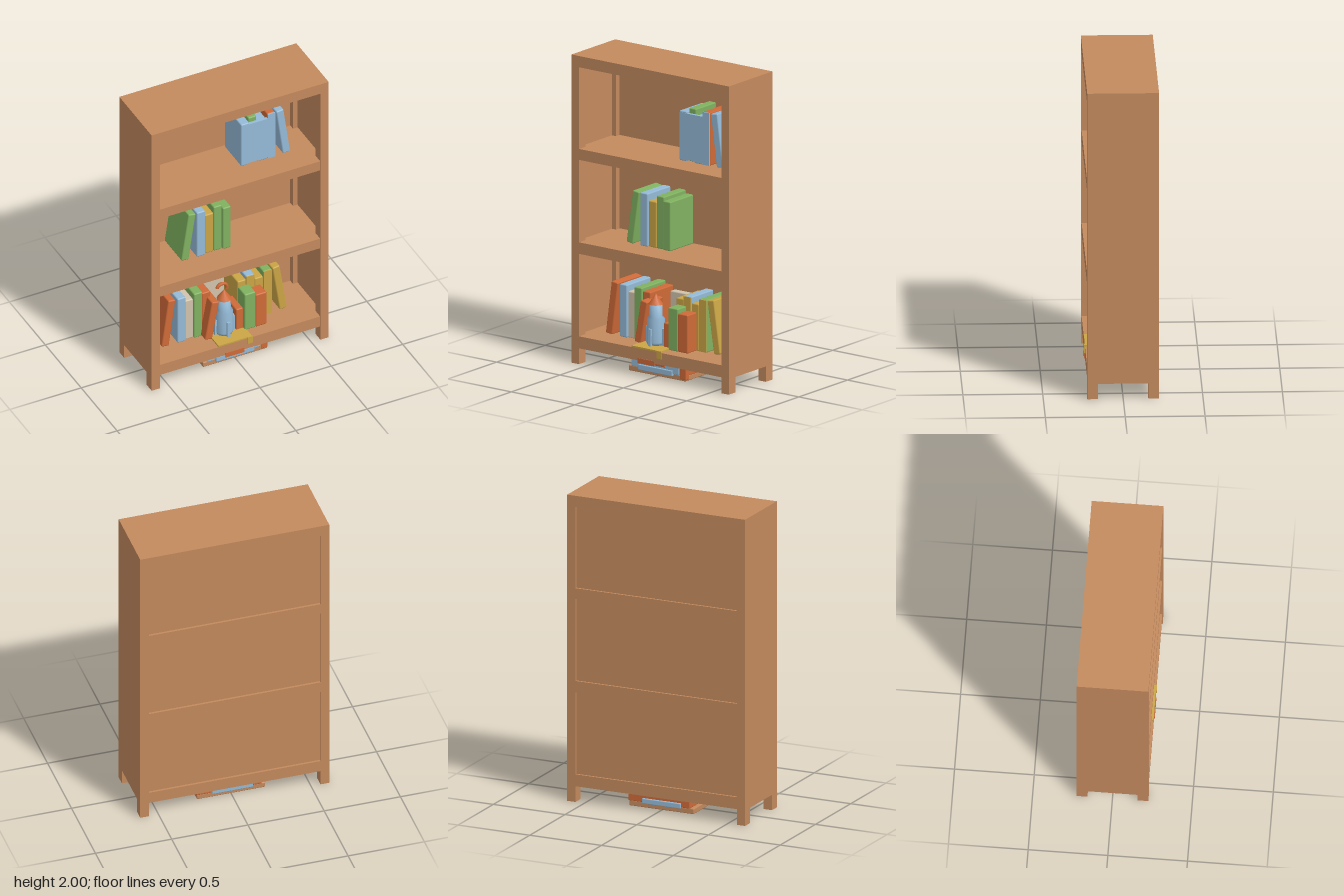
import * as THREE from 'three';
import { RoundedBoxGeometry } from 'three/addons/geometries/RoundedBoxGeometry.js';

const material = (name, color) => {
  const m = new THREE.MeshStandardMaterial({ color });
  m.name = name;
  return m;
};

export function createModel() {
  const wood = material('wood', 0xc48a5e);
  const blue = material('blue', 0x95bbd8);
  const green = material('green', 0x80b260);
  const yellow = material('yellow', 0xcba646);
  const orange = material('orange', 0xcf6a38);
  const cream = material('cream', 0xd2c4ad);

  const model = new THREE.Group();
  model.name = 'bookcase';

  const add = (parent, name, geometry, mat, x = 0, y = 0, z = 0) => {
    const mesh = new THREE.Mesh(geometry, mat);
    mesh.name = name;
    mesh.position.set(x, y, z);
    parent.add(mesh);
    return mesh;
  };
  // Box given by its low and high corners
  const box = (parent, name, mat, [x0, x1], [y0, y1], [z0, z1], radius = 0) => {
    const size = [x1 - x0, y1 - y0, z1 - z0];
    const geometry = radius ? new RoundedBoxGeometry(...size, 1, radius) : new THREE.BoxGeometry(...size);
    return add(parent, name, geometry, mat, (x0 + x1) / 2, (y0 + y1) / 2, (z0 + z1) / 2);
  };
  const group = (name) => {
    const g = new THREE.Group();
    g.name = name;
    model.add(g);
    return g;
  };

  // Case: four posts, side panels, top, shelves and a recessed back
  const frame = group('case');
  for (const s of [-1, 1]) {
    const span = (a, b) => (s > 0 ? [a, b] : [-b, -a]);
    box(frame, 'frontPost', wood, span(0.562, 0.62), [0, 1.93], [0.157, 0.225]);
    box(frame, 'backPost', wood, span(0.562, 0.62), [0, 1.93], [-0.225, -0.157]);
    box(frame, 'sidePanel', wood, span(0.595, 0.62), [0.1, 1.93], [-0.157, 0.157]);
  }
  box(frame, 'top', wood, [-0.62, 0.62], [1.927, 2], [-0.225, 0.225]);
  for (const [y0, y1] of [[0.102, 0.18], [0.715, 0.79], [1.325, 1.396]]) {
    box(frame, 'shelf', wood, [-0.562, 0.562], [y0, y1], [-0.224, 0.222]);
    for (const s of [-1, 1])
      box(frame, 'shelfEnd', wood, s > 0 ? [0.562, 0.595] : [-0.595, -0.562], [y0, y1], [-0.157, 0.157]);
  }
  box(frame, 'backPanel', wood, [-0.562, 0.562], [0.18, 1.927], [-0.21, -0.195]);

  // Upright and leaning books; a lean moves the top sideways
  const book = (parent, mat, x0, x1, y0, y1, z0, z1) =>
    box(parent, 'book', mat, [x0, x1], [y0, y1], [z0, z1], 0.008);
  const leaningBook = (parent, mat, bottomX, topX, y0, y1, z0, z1) => {
    const angle = Math.atan2(bottomX - topX, y1 - y0);
    const width = 0.052;
    const height = (y1 - y0 - width * Math.abs(Math.sin(angle))) / Math.cos(angle);
    const mesh = add(parent, 'leaningBook', new RoundedBoxGeometry(width, height, z1 - z0, 1, 0.008),
      mat, (bottomX + topX) / 2, (y0 + y1) / 2, (z0 + z1) / 2);
    mesh.rotation.z = angle;
  };

  // Top shelf
  const upper = group('topShelfBooks');
  book(upper, blue, 0.095, 0.155, 1.396, 1.72, -0.18, 0.05);
  book(upper, green, 0.155, 0.212, 1.396, 1.742, -0.18, 0.03);
  book(upper, blue, 0.212, 0.28, 1.396, 1.7, -0.18, 0.05);
  book(upper, orange, 0.28, 0.335, 1.396, 1.742, -0.18, 0.044);
  box(upper, 'blueCover', blue, [0.1, 0.332], [1.398, 1.718], [0.03, 0.051]).scale.set(1, 0.94, 1);
  box(upper, 'blueSpine', blue, [0.282, 0.333], [1.398, 1.74], [0.043, 0.052]);
  leaningBook(upper, blue, 0.415, 0.367, 1.396, 1.745, -0.17, 0.05);

  // Middle shelf
  const middle = group('middleShelfBooks');
  leaningBook(middle, green, -0.298, -0.246, 0.79, 1.14, -0.19, 0.05);
  book(middle, blue, -0.215, -0.155, 0.79, 1.135, -0.19, 0.05);
  book(middle, yellow, -0.155, -0.092, 0.79, 1.09, -0.19, 0.04);
  book(middle, green, -0.092, -0.033, 0.79, 1.132, -0.19, 0.04);
  book(middle, green, -0.033, 0.025, 0.79, 1.11, -0.19, 0.05);

  // Bottom shelf, back row
  const lower = group('bottomShelfBooks');
  leaningBook(lower, orange, -0.446, -0.398, 0.18, 0.53, -0.18, 0.07);
  book(lower, blue, -0.36, -0.303, 0.18, 0.522, -0.18, 0.07);
  book(lower, cream, -0.303, -0.245, 0.18, 0.482, -0.18, 0.06);
  book(lower, green, -0.245, -0.185, 0.18, 0.522, -0.18, 0.07);
  book(lower, orange, -0.185, -0.125, 0.18, 0.502, -0.18, 0.06);
  book(lower, cream, -0.115, 0.07, 0.18, 0.475, -0.18, -0.13);
  [[0.07, 0.5], [0.13, 0.522], [0.19, 0.485], [0.25, 0.522]].forEach(([x, y], i) =>
    book(lower, [yellow, blue, yellow, green][i], x, x + 0.06, 0.18, y, -0.18, 0.05));
  for (const [x, y] of [[0.13, 0.522], [0.25, 0.522]])
    box(lower, 'yellowSpine', yellow, [x + 0.002, x + 0.058], [0.182, y - 0.002], [0.045, 0.053]);
  leaningBook(lower, yellow, 0.393, 0.34, 0.18, 0.53, -0.17, 0.05);

  // Bottom shelf, front row
  leaningBook(lower, orange, -0.173, -0.122, 0.18, 0.465, -0.04, 0.13);
  book(lower, orange, 0.025, 0.075, 0.18, 0.345, -0.03, 0.12);
  book(lower, green, 0.075, 0.152, 0.18, 0.457, -0.03, 0.14);
  book(lower, orange, 0.152, 0.23, 0.18, 0.43, -0.03, 0.14);

  // Toy rocket on its mat
  const rocket = group('toyRocket');
  rocket.position.set(-0.05, 0, 0.1);
  const profile = [[0, 0.192], [0.055, 0.192], [0.06, 0.21], [0.056, 0.36], [0.043, 0.37], [0.041, 0.45], [0, 0.455]];
  add(rocket, 'rocketBody', new THREE.LatheGeometry(profile.map((p) => new THREE.Vector2(...p)), 12), blue);
  add(rocket, 'rocketNose', new THREE.ConeGeometry(0.047, 0.07, 12), orange, 0, 0.485, 0);
  for (let i = 0; i < 4; i++) {
    const arm = new THREE.Group();
    arm.name = 'rocketFin';
    arm.rotation.y = (i * Math.PI) / 2;
    box(arm, 'finPlate', blue, [0.045, 0.07], [0.19, 0.3], [-0.01, 0.01]);
    rocket.add(arm);
  }
  box(model, 'yellowMat', yellow, [-0.15, 0.085], [0.178, 0.19], [0.03, 0.222]);
  box(model, 'matTab', yellow, [0.05, 0.088], [0.14, 0.19], [0.219, 0.227]);
  const handle = add(model, 'orangeArch', new THREE.TorusGeometry(0.035, 0.012, 6, 12, Math.PI), orange, 0.025, 0.38, -0.08);
  handle.rotation.z = -0.3;

  // Stack of flat books under the bottom shelf
  const stack = group('floorStack');
  box(stack, 'bottomBook', wood, [-0.225, 0.225], [0.002, 0.038], [-0.15, 0.155], 0.006);
  box(stack, 'orangeBook', orange, [-0.2, 0.23], [0.036, 0.102], [-0.155, 0.155], 0.006);
  box(stack, 'orangeEdge', orange, [0.18, 0.23], [0.01, 0.1], [0.12, 0.157], 0.006);
  box(stack, 'blueBook', blue, [-0.2, 0.178], [0.036, 0.1], [0.13, 0.162], 0.006);
  box(stack, 'blueSpine', blue, [-0.14, 0.13], [0.022, 0.06], [0.14, 0.17], 0.006);
  box(stack, 'orangeSpine', orange, [-0.1, 0.07], [0.07, 0.1], [0.14, 0.168], 0.006);
  box(stack, 'orangeRibbon', orange, [-0.1, 0.03], [0.085, 0.118], [0.218, 0.226]);
  box(stack, 'blueUnderside', blue, [-0.18, 0.18], [0, 0.006], [-0.12, 0.13]);
  box(stack, 'blueBackSpine', blue, [-0.14, 0.13], [0.03, 0.065], [-0.165, -0.14], 0.006);
  return model;
}
